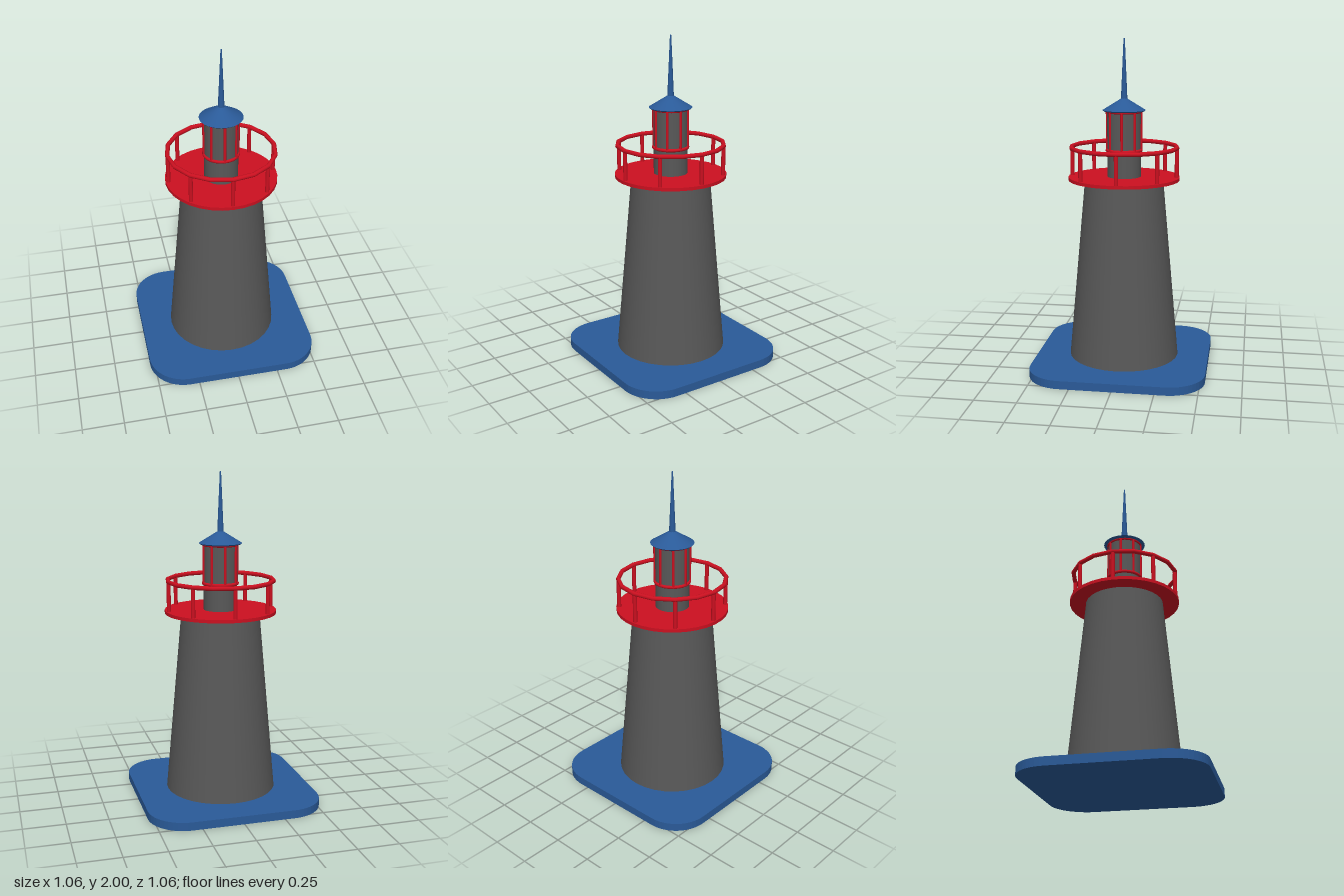
import * as THREE from 'three';

const blue = new THREE.MeshStandardMaterial({ color: 0x2a5a98 });
const red = new THREE.MeshStandardMaterial({ color: 0xcc1020 });
const grey = new THREE.MeshStandardMaterial({ color: 0x585858 });

export function createModel() {
  const model = new THREE.Group();
  model.name = 'lighthouse';

  function add(name, geometry, material, x = 0, y = 0, z = 0) {
    const mesh = new THREE.Mesh(geometry, material);
    mesh.name = name;
    mesh.position.set(x, y, z);
    model.add(mesh);
    return mesh;
  }
  // Upright round part spanning y0..y1
  function column(name, material, rBottom, rTop, y0, y1, sides = 32, x = 0, z = 0) {
    return add(name, new THREE.CylinderGeometry(rTop, rBottom, y1 - y0, sides), material, x, (y0 + y1) / 2, z);
  }
  // Horizontal ring
  function ring(name, radius, tube, y, sides) {
    add(name, new THREE.TorusGeometry(radius, tube, 8, sides).rotateX(Math.PI / 2), red, 0, y, 0);
  }
  // Evenly spaced uprights around the axis
  function uprights(name, count, radius, thickness, y0, y1) {
    for (let i = 0; i < count; i++) {
      const a = (i / count) * Math.PI * 2;
      column(name, red, thickness, thickness, y0, y1, 8, Math.cos(a) * radius, Math.sin(a) * radius);
    }
  }

  // Square base with rounded corners
  const h = 0.53, r = 0.22, c = h - r;
  const plan = new THREE.Shape();
  plan.absarc(c, c, r, 0, Math.PI / 2);
  plan.absarc(-c, c, r, Math.PI / 2, Math.PI);
  plan.absarc(-c, -c, r, Math.PI, Math.PI * 1.5);
  plan.absarc(c, -c, r, Math.PI * 1.5, Math.PI * 2);
  const baseGeometry = new THREE.ExtrudeGeometry(plan, { depth: 0.05, bevelEnabled: false, curveSegments: 6 });
  add('base', baseGeometry.rotateX(-Math.PI / 2), blue);

  // Tapered tower
  column('tower', grey, 0.338, 0.238, 0.05, 1.16);

  // Gallery deck and railing
  column('galleryDeck', red, 0.338, 0.338, 1.155, 1.175);
  uprights('railingPost', 8, 0.32, 0.0125, 1.17, 1.355);
  ring('handrail', 0.322, 0.0135, 1.353, 16);

  // Lantern room with its frame
  column('lanternRoom', grey, 0.102, 0.102, 1.17, 1.578);
  ring('lanternLowerRing', 0.103, 0.01, 1.335, 24);
  ring('lanternUpperRing', 0.103, 0.008, 1.568, 24);
  uprights('lanternBar', 8, 0.104, 0.008, 1.33, 1.575);

  // Roof and spire
  column('roofEave', blue, 0.122, 0.13, 1.57, 1.577);
  column('roof', blue, 0.13, 0.012, 1.577, 1.65);
  column('spire', blue, 0.02, 0.004, 1.635, 2, 12);

  return model;
}
